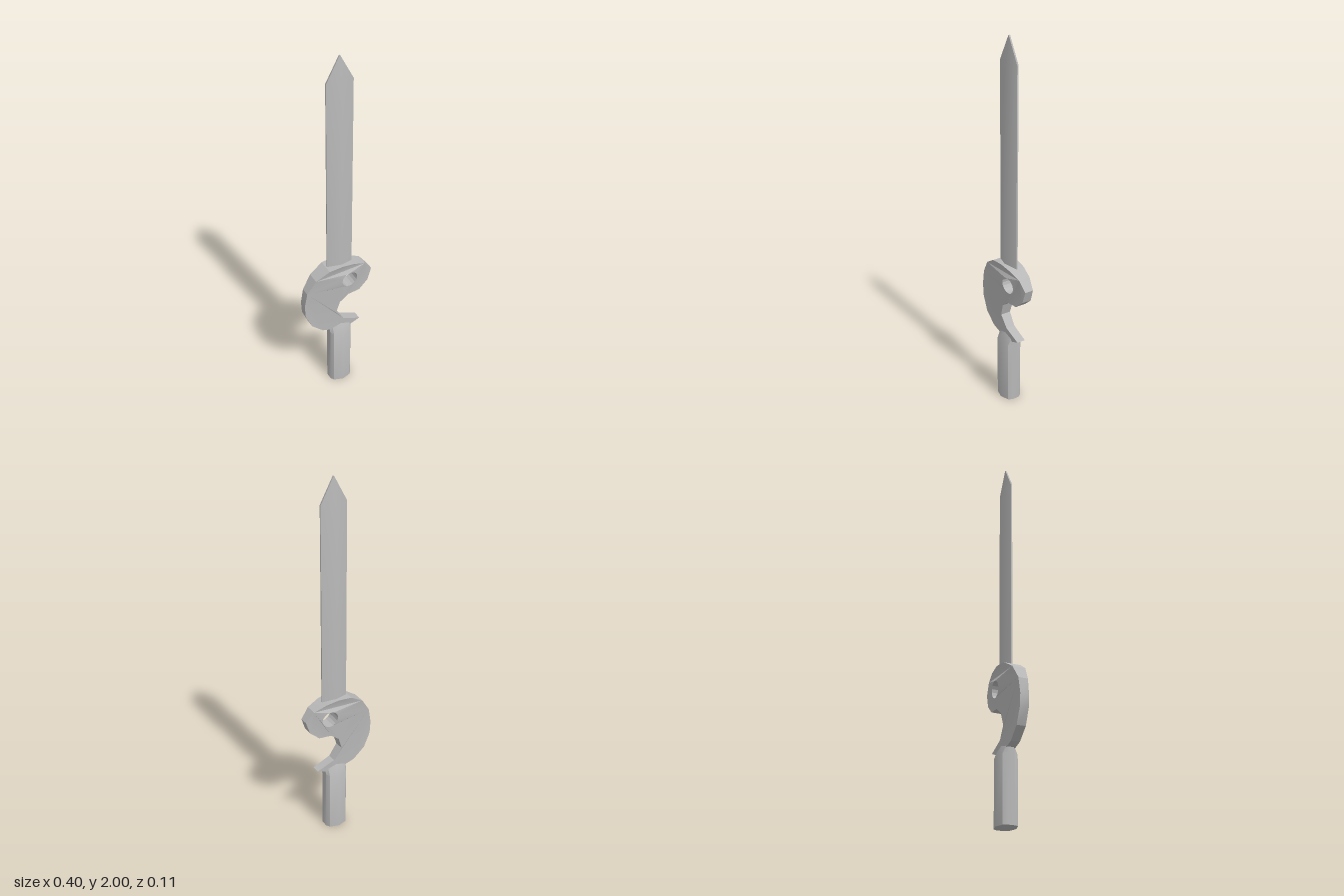
import * as THREE from 'three';
import { toCreasedNormals } from 'three/addons/utils/BufferGeometryUtils.js';

// Joins rings of [x, y, z] points (listed from +z towards +x, lowest first) and caps both ends.
function loft(rings, crease) {
  const n = rings[0].length, last = (rings.length - 1) * n, index = [];
  for (let r = 0; r < rings.length - 1; r++) {
    for (let i = 0; i < n; i++) {
      const a = r * n + i, b = r * n + (i + 1) % n;
      index.push(a, b, b + n, a, b + n, a + n);
    }
  }
  for (let i = 1; i < n - 1; i++) {
    index.push(0, i + 1, i, last, last + i, last + i + 1);
  }
  const geometry = new THREE.BufferGeometry();
  geometry.setAttribute('position', new THREE.Float32BufferAttribute(rings.flat(2), 3));
  geometry.setIndex(index);
  return toCreasedNormals(geometry, crease);
}

// Diamond-section blade with narrow flat edges and a pointed tip.
function bladeGeometry() {
  const section = [[0, 0.03], [0.072, 0.004], [0.072, -0.004], [0, -0.03], [-0.072, -0.004], [-0.072, 0.004]];
  return loft([
    section.map(([x, z]) => [x, 0.78, z]),
    section.map(([x, z]) => [x, x === 0 ? 1.8 : 1.87, z]),
    section.map(([x, z]) => [x * 0.02, 2, Math.sign(z) * 0.004]),
  ], 0.9);
}

// Faceted handle whose broad sides slope inward under the guard.
function handleGeometry() {
  const half = [[0, 0.055], [0.05, 0.04], [0.063, 0.02], [0.063, -0.02], [0.05, -0.04]];
  const section = [...half, ...half.map(([x, z]) => [-x, -z])];
  return loft([
    section.map(([x, z]) => [x, 0, z]),
    section.map(([x, z]) => [x, 0.32 + Math.abs(x) * 0.5, z]),
    section.map(([x, z]) => [x, 0.4, z * 0.42]),
  ], 0.6);
}

// Hooked guard with an eye hole, thickest at the top centre.
function guardGeometry() {
  const outline = [
    [-0.063, 0.805], [-0.137, 0.759], [-0.185, 0.684], [-0.2, 0.6], [-0.195, 0.53],
    [-0.16, 0.45], [-0.095, 0.392], [-0.005, 0.365], [0.07, 0.367], [0.13, 0.39],
    [0.03, 0.43], [-0.016, 0.493], [0.005, 0.562], [0.053, 0.6], [0.122, 0.605],
    [0.175, 0.652], [0.197, 0.72], [0.153, 0.775], [0.085, 0.802], [0.016, 0.814],
  ];
  const shape = new THREE.Shape(outline.map(([x, y]) => new THREE.Vector2(x, y)));
  const hole = new THREE.Path();
  hole.absarc(0.06, 0.705, 0.045, 0, Math.PI * 2, true);
  shape.holes.push(hole);
  const geometry = new THREE.ExtrudeGeometry(shape, { depth: 2, bevelEnabled: false, curveSegments: 8 });
  const p = geometry.attributes.position;
  for (let i = 0; i < p.count; i++) {
    const x = p.getX(i) / 0.2;
    const rise = Math.max(0, (p.getY(i) - 0.365) / 0.45);
    const halfDepth = 0.023 + 0.027 * Math.max(0, 1 - x * x) * Math.pow(rise, 1.3);
    p.setZ(i, (p.getZ(i) - 1) * halfDepth);
  }
  return toCreasedNormals(geometry, 0.35);
}

export function createModel() {
  const model = new THREE.Group();
  model.name = 'hookGuardSword';
  const steel = new THREE.MeshStandardMaterial({ color: 0xb8b8b8 });
  steel.name = 'steel grey';

  const add = (name, geometry, x = 0) => {
    const mesh = new THREE.Mesh(geometry, steel);
    mesh.name = name;
    mesh.position.x = x;
    model.add(mesh);
  };
  add('blade', bladeGeometry(), 0.016);
  add('hookedGuard', guardGeometry());
  add('handle', handleGeometry(), 0.015);
  return model;
}
